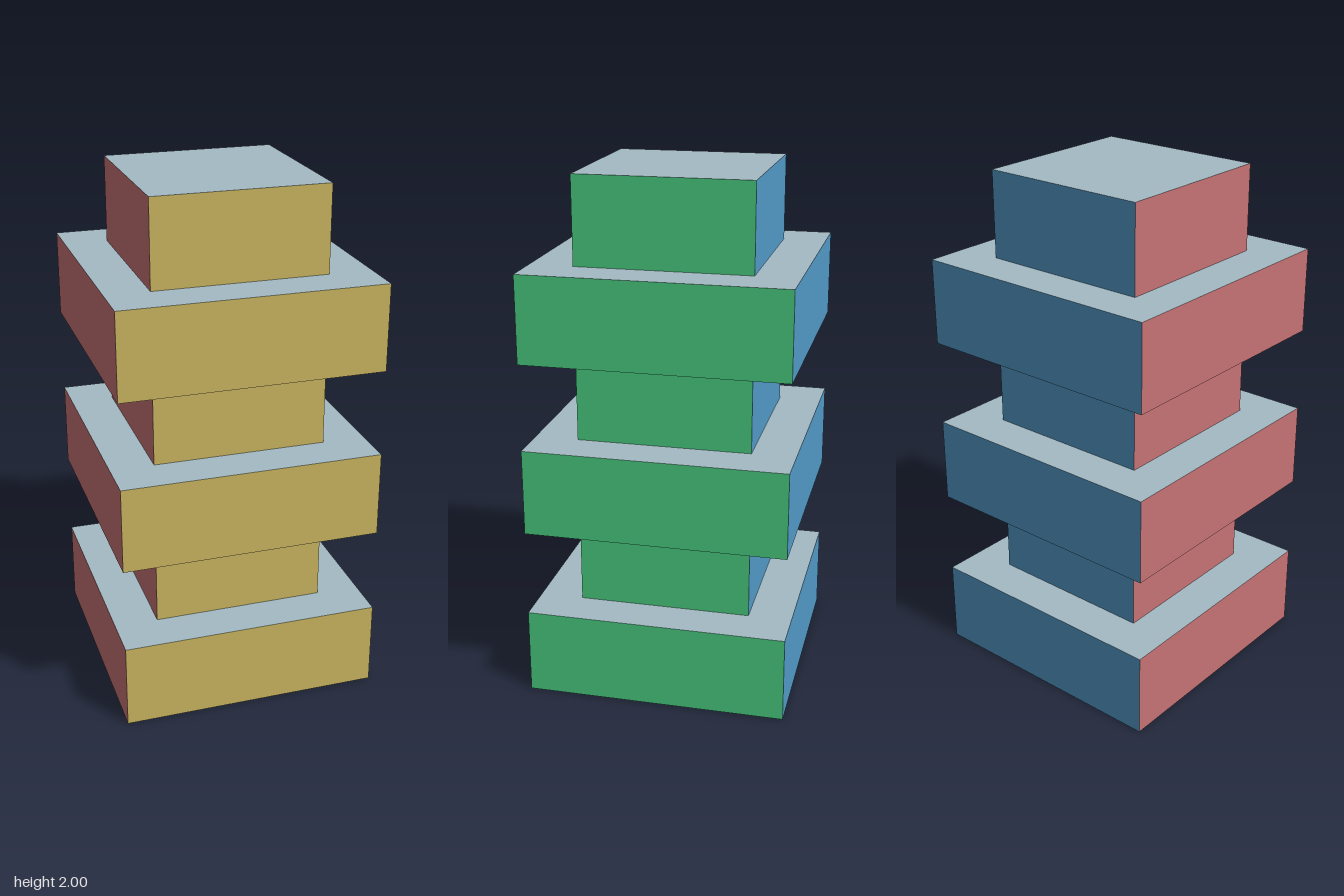
import * as THREE from 'three';

const paint = (name, color) => {
  const m = new THREE.MeshStandardMaterial({ color });
  m.name = name;
  return m;
};

export function createModel() {
  const group = new THREE.Group();
  group.name = 'steppedTower';

  // One colour per direction, in box face order: +x, -x, +y, -y, +z, -z
  const sides = [
    paint('green', 0x48ca7f),
    paint('dusty red', 0xc77375),
    paint('pale blue grey', 0xa3bac4),
    paint('dark slate', 0x454c59),
    paint('gold', 0xc9b45f),
    paint('blue', 0x549dcb),
  ];

  // Six tiers of equal height, alternating wide slab and narrow block
  const tiers = 6;
  const height = 2 / tiers;
  for (let i = 0; i < tiers; i++) {
    const wide = i % 2 === 0;
    const width = wide ? 1 : 2 / 3;
    const tier = new THREE.Mesh(new THREE.BoxGeometry(width, height, width), sides);
    tier.name = (wide ? 'wideSlab' : 'narrowBlock') + (Math.floor(i / 2) + 1);
    tier.position.y = (i + 0.5) * height;
    group.add(tier);
  }
  return group;
}
